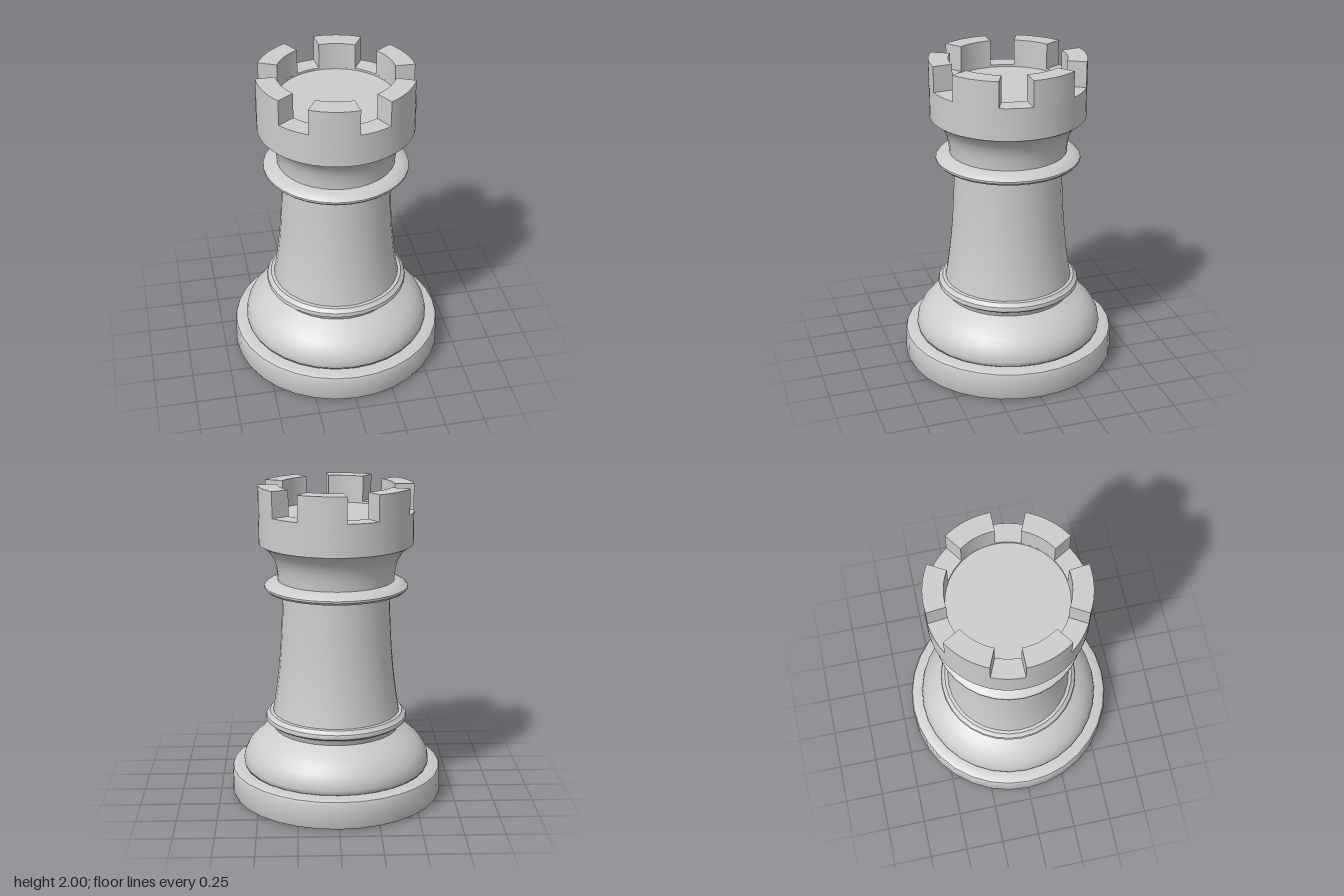
import * as THREE from 'three';
import { toCreasedNormals } from 'three/addons/utils/BufferGeometryUtils.js';

const CREASE = THREE.MathUtils.degToRad(38);

export function createModel() {
  const group = new THREE.Group();
  const stone = new THREE.MeshStandardMaterial({ color: 0xcccccc });
  stone.name = 'light grey';

  const add = (name, geometry) => {
    const mesh = new THREE.Mesh(toCreasedNormals(geometry, CREASE), stone);
    mesh.name = name;
    group.add(mesh);
  };
  // turned part from [radius, height] points, bottom to top
  const turn = (name, points, segments = 32) =>
    add(name, new THREE.LatheGeometry(points.map(([r, y]) => new THREE.Vector2(r, y)), segments));

  // foot disc with rounded edges
  turn('base', [[0, 0], [0.65, 0], [0.667, 0.007], [0.675, 0.025], [0.675, 0.165],
    [0.668, 0.183], [0.65, 0.192], [0.59, 0.194]]);

  // swelling above the foot
  turn('bulge', [[0.585, 0.192], [0.595, 0.205], [0.598, 0.225], [0.59, 0.268], [0.57, 0.312],
    [0.535, 0.355], [0.485, 0.397], [0.4, 0.445]]);

  // narrow neck and lower ring
  turn('lowerRing', [[0.4, 0.445], [0.415, 0.485], [0.435, 0.488], [0.45, 0.5], [0.453, 0.513],
    [0.448, 0.528], [0.435, 0.536], [0.425, 0.55], [0.4, 0.553]]);

  // tapering shaft
  turn('shaft', [[0.405, 0.55], [0.391, 0.63], [0.378, 0.72], [0.365, 0.83], [0.354, 0.95],
    [0.346, 1.08], [0.34, 1.2], [0.335, 1.335]]);

  // thin upper collar
  turn('collar', [[0.33, 1.33], [0.4, 1.336], [0.435, 1.345], [0.45, 1.36], [0.45, 1.372],
    [0.435, 1.386], [0.4, 1.402], [0.36, 1.41]]);

  // flare up to the crown
  turn('flare', [[0.365, 1.405], [0.368, 1.45], [0.375, 1.5], [0.39, 1.545], [0.414, 1.585],
    [0.444, 1.616], [0.48, 1.64]]);

  // crown drum with a slightly sunken floor
  turn('crown', [[0.46, 1.64], [0.48, 1.64], [0.48, 1.84], [0.36, 1.84], [0.36, 1.827], [0, 1.827]], 60);

  // six battlements, each 36 degrees wide with 24 degree gaps
  for (let i = 0; i < 6; i++) {
    const start = i * Math.PI / 3;
    const end = start + Math.PI / 5;
    const shape = new THREE.Shape();
    shape.absarc(0, 0, 0.48, start, end, false);
    shape.absarc(0, 0, 0.36, end, start, true);
    const block = new THREE.ExtrudeGeometry(shape, { depth: 0.16, bevelEnabled: false, curveSegments: 6 });
    block.rotateX(-Math.PI / 2);
    block.translate(0, 1.84, 0);
    add('battlement' + (i + 1), block);
  }
  return group;
}
